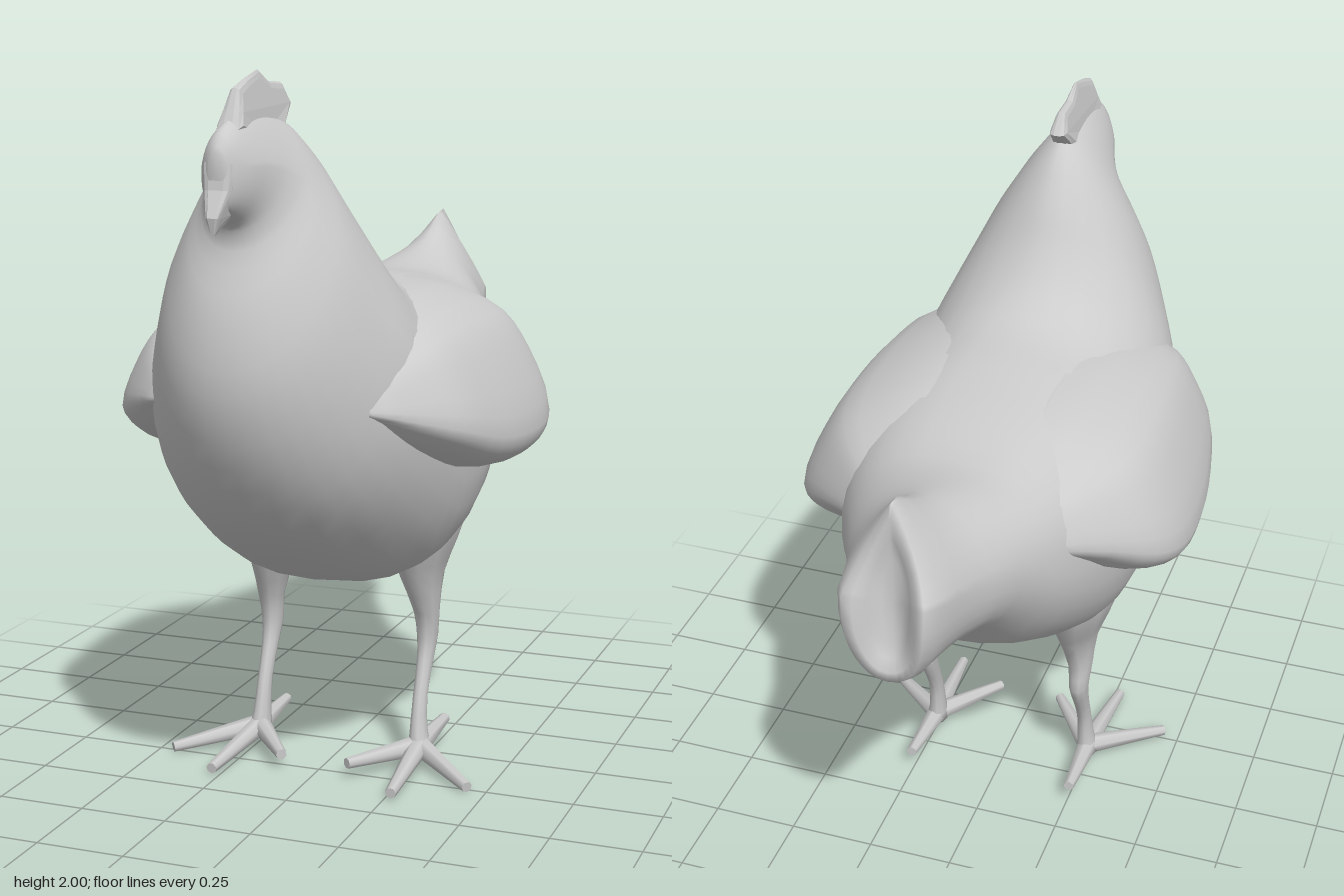
import * as THREE from 'three';

const V = (x, y, z) => new THREE.Vector3(x, y, z);
const material = new THREE.MeshStandardMaterial({ color: 0xcccccc, side: THREE.DoubleSide });

function addMesh(parent, name, geometry) {
  const mesh = new THREE.Mesh(geometry, material);
  mesh.name = name;
  parent.add(mesh);
}

// Skin closed rings of points, smoothing between them and capping both ends
function loft(rings, steps = 3) {
  const n = rings[0].length;
  const rows = (rings.length - 1) * steps + 1;
  const columns = rings[0].map((_, j) => new THREE.CatmullRomCurve3(rings.map(r => r[j])));
  const pos = [];
  const index = [];
  for (let i = 0; i < rows; i++) {
    for (let j = 0; j < n; j++) pos.push(...columns[j].getPoint(i / (rows - 1)).toArray());
  }
  for (let i = 0; i < rows - 1; i++) {
    for (let j = 0; j < n; j++) {
      const a = i * n + j, b = i * n + (j + 1) % n;
      index.push(a, a + n, b, b, a + n, b + n);
    }
  }
  [rings[0], rings[rings.length - 1]].forEach((ring, end) => {
    const c = ring.reduce((s, p) => s.add(p), V(0, 0, 0)).divideScalar(n);
    const row = end * (rows - 1) * n, k = pos.length / 3;
    pos.push(c.x, c.y, c.z);
    for (let j = 0; j < n; j++) {
      const a = row + j, b = row + (j + 1) % n;
      index.push(k, ...(end ? [b, a] : [a, b]));
    }
  });
  // Turn the faces outward when the enclosed volume comes out negative
  let volume = 0;
  const at = i => V().fromArray(pos, i * 3);
  for (let t = 0; t < index.length; t += 3) {
    volume += at(index[t]).dot(at(index[t + 1]).cross(at(index[t + 2])));
  }
  if (volume < 0) index.reverse();
  const g = new THREE.BufferGeometry();
  g.setAttribute('position', new THREE.Float32BufferAttribute(pos, 3));
  g.setIndex(index);
  g.computeVertexNormals();
  return g;
}

// Body ring between a top and a bottom point; p and q shape its upper and
// lower half (2 is round, more is squarer), bow pushes the sides back
function bodyRing([tz, ty, bz, by, w, p = 2, q = 2.1, bow = 0]) {
  return Array.from({ length: 32 }, (_, j) => {
    const a = j / 32 * Math.PI * 2;
    const e = 2 / (Math.cos(a) > 0 ? p : q);
    const c = Math.sign(Math.cos(a)) * Math.abs(Math.cos(a)) ** e;
    const s = Math.sign(Math.sin(a)) * Math.abs(Math.sin(a)) ** e;
    return V(w * s, (ty + by) / 2 + c * (ty - by) / 2, (tz + bz) / 2 + c * (tz - bz) / 2 - bow * s ** 4);
  });
}

// Thin upright blade from a (z, y) outline; widthAt scales its thickness by height
function blade(points, depth, bevel, widthAt) {
  const shape = new THREE.Shape(points.map(p => new THREE.Vector2(...p)));
  const g = new THREE.ExtrudeGeometry(shape, {
    depth, bevelSize: bevel, bevelThickness: bevel, bevelOffset: -bevel, bevelSegments: 2, steps: 1,
  });
  g.translate(0, 0, -depth / 2).rotateY(-Math.PI / 2);
  const p = g.attributes.position;
  for (let i = 0; i < p.count; i++) p.setX(i, p.getX(i) * widthAt(p.getY(i)));
  g.computeVertexNormals();
  return g;
}

// Horizontal elliptical ring for the legs
const legRing = (side, [y, x, z, rx, rz]) => Array.from({ length: 10 }, (_, j) => {
  const a = j / 10 * Math.PI * 2;
  return V(side * (x + rx * Math.cos(a)), y, z + rz * Math.sin(a));
});

// Folded wing whose top and ends sink into the body
function buildWing(side) {
  // z, outer x, lower y, upper y, upper inner x
  const sections = [
    [0.66, 0.31, 1.13, 1.18, 0.22],
    [0.57, 0.41, 1.07, 1.27, 0.20],
    [0.46, 0.495, 1.01, 1.345, 0.16],
    [0.28, 0.545, 0.94, 1.39, 0.12],
    [0.08, 0.57, 0.915, 1.40, 0.10],
    [-0.10, 0.565, 0.93, 1.385, 0.10],
    [-0.22, 0.52, 0.98, 1.36, 0.10],
    [-0.33, 0.42, 1.06, 1.32, 0.10],
    [-0.48, 0.25, 1.15, 1.26, 0.10],
  ];
  return loft(sections.map(([z, ox, by, ty, ix]) => {
    const h = ty - by;
    const outline = new THREE.CatmullRomCurve3([
      V(ix, ty, z), V(ix + (ox - ix) * 0.64, ty - h * 0.14, z), V(ix + (ox - ix) * 0.86, ty - h * 0.42, z),
      V(ox, by + h * 0.16, z), V(ox - 0.05, by + h * 0.03, z), V(ox - (ox - ix) * 0.45, by, z),
      V(ix, by + h * 0.35, z),
    ], true);
    return outline.getPoints(24).slice(0, 24).map(p => V(p.x * side, p.y, p.z));
  }));
}

function buildLeg(side) {
  const leg = new THREE.Group();
  // y, x, z, half-width, half-depth from thigh to ankle
  const rings = [
    [0.92, 0.20, 0.00, 0.12, 0.20], [0.76, 0.24, 0.01, 0.115, 0.19], [0.64, 0.235, 0.015, 0.09, 0.145],
    [0.55, 0.232, 0.02, 0.060, 0.098], [0.44, 0.243, 0.012, 0.037, 0.05], [0.36, 0.243, 0.002, 0.029, 0.045],
    [0.30, 0.243, 0.02, 0.024, 0.036], [0.20, 0.243, 0.065, 0.021, 0.028], [0.10, 0.245, 0.085, 0.025, 0.036],
    [0.04, 0.25, 0.09, 0.034, 0.045],
  ];
  addMesh(leg, 'thighAndShank', loft(rings.map(r => legRing(side, r)), 2));
  // Three front toes and one hind toe
  const tips = [[0.27, 0.025, 0.40], [0.45, 0.02, 0.27], [0.10, 0.05, 0.29], [0.255, 0.065, -0.13]];
  for (const [x, y, z] of tips) {
    const from = V(side * 0.25, 0.055, 0.09), to = V(side * x, y, z);
    const dir = to.clone().sub(from);
    const g = new THREE.CylinderGeometry(0.016, 0.031, dir.length(), 7, 1);
    g.applyQuaternion(new THREE.Quaternion().setFromUnitVectors(V(0, 1, 0), dir.clone().normalize()));
    const mid = from.add(to).multiplyScalar(0.5);
    addMesh(leg, 'toe', g.translate(mid.x, mid.y, mid.z));
  }
  return leg;
}

export function createModel() {
  const hen = new THREE.Group();
  hen.name = 'hen';

  // Tail, trunk, neck and head: top z, top y, bottom z, bottom y, half-width, shape
  const rings = [
    [-0.855, 1.34, -0.885, 1.10, 0.03],
    [-0.855, 1.51, -0.925, 1.01, 0.11, 1.1, 2.4, 0.05],
    [-0.70, 1.435, -0.78, 0.99, 0.175, 1.6],
    [-0.56, 1.39, -0.60, 0.945, 0.25, 2],
    [-0.42, 1.37, -0.40, 0.76, 0.33, 2.4, 2.1],
    [-0.20, 1.40, -0.20, 0.64, 0.395, 2.5, 2.3],
    [0.00, 1.43, -0.02, 0.575, 0.415, 2.4, 2.6],
    [0.16, 1.46, 0.20, 0.555, 0.42, 2.1, 2.5],
    [0.27, 1.53, 0.45, 0.66, 0.41, 1.8, 2.2],
    [0.35, 1.63, 0.67, 0.81, 0.37, 1.7],
    [0.40, 1.72, 0.82, 1.00, 0.305, 1.7],
    [0.455, 1.80, 0.89, 1.20, 0.24, 1.7],
    [0.49, 1.84, 0.875, 1.40, 0.18, 1.7],
    [0.53, 1.87, 0.82, 1.56, 0.135, 1.6],
    [0.60, 1.89, 0.825, 1.61, 0.11, 1.5],
    [0.71, 1.905, 0.84, 1.63, 0.09, 1.4],
    [0.82, 1.89, 0.87, 1.65, 0.07, 1.5],
    [0.89, 1.855, 0.90, 1.67, 0.045],
    [0.92, 1.81, 0.915, 1.71, 0.02],
  ];
  addMesh(hen, 'body', loft(rings.map(bodyRing)));

  // Comb along the crown, thin at the top
  addMesh(hen, 'comb', blade([
    [0.55, 1.85], [0.48, 1.91], [0.52, 1.965], [0.60, 1.97], [0.66, 2.0], [0.74, 1.98],
    [0.80, 1.96], [0.825, 1.91], [0.85, 1.86], [0.70, 1.82],
  ], 0.02, 0.018, y => THREE.MathUtils.clamp((2.02 - y) / 0.12, 0.2, 1.3)));

  // Drooping beak, pointed at the bottom
  addMesh(hen, 'beak', blade([
    [0.91, 1.79], [0.92, 1.72], [0.95, 1.655], [0.94, 1.61], [0.86, 1.645], [0.80, 1.70], [0.84, 1.79],
  ], 0.036, 0.016, y => THREE.MathUtils.clamp((y - 1.59) / 0.12, 0.2, 1.2)));

  for (const side of [1, -1]) {
    const label = side > 0 ? 'left' : 'right';
    addMesh(hen, label + 'Wing', buildWing(side));
    const leg = buildLeg(side);
    leg.name = label + 'Leg';
    hen.add(leg);
  }
  return hen;
}
